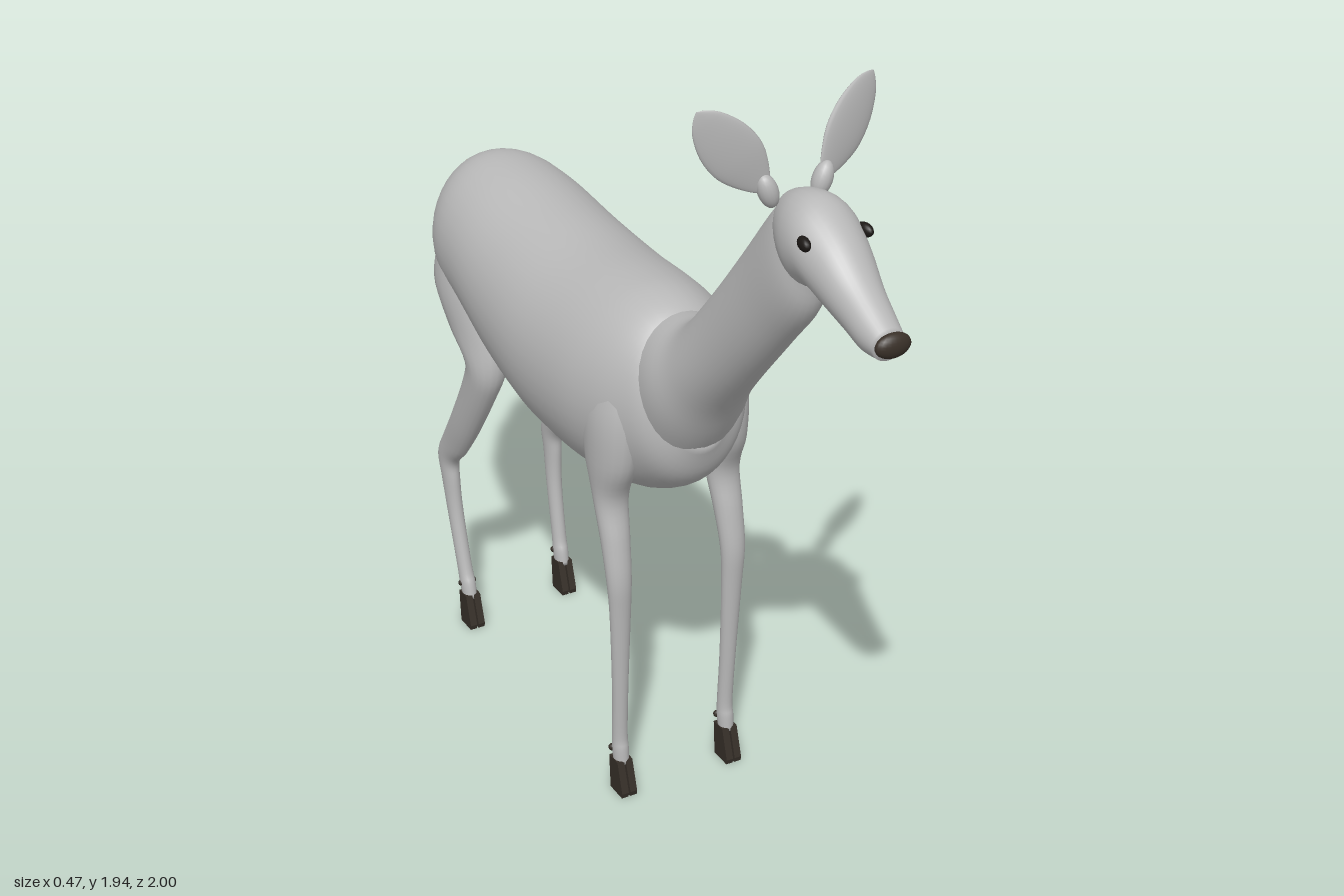
import * as THREE from 'three';

const mat = (name, color) => Object.assign(new THREE.MeshStandardMaterial({ color }), { name });
const coat = mat('grey coat', 0xb8b8b8);
const hoofMat = mat('dark hoof', 0x352e27);
const noseMat = mat('dark nose', 0x3a3129);
const eyeMat = mat('black eye', 0x1c1815);
const brown = mat('tail brown', 0x94694a);
const tan = mat('tail tan', 0xb39c84);

function add(parent, name, geometry, material, x = 0, y = 0, z = 0) {
  const m = new THREE.Mesh(geometry, material);
  m.name = name;
  m.position.set(x, y, z);
  parent.add(m);
  return m;
}

// Smooth skin over elliptical sections [zTop, yTop, zBottom, yBottom, halfWidth, xCentre]
function loft(sections, sides = 28, steps = 5) {
  const curve = (f) => new THREE.CatmullRomCurve3(sections.map(f), false, 'catmullrom', 0.5);
  const tops = curve((s) => new THREE.Vector3(s[5] || 0, s[1], s[0]));
  const bottoms = curve((s) => new THREE.Vector3(s[4], s[3], s[2]));
  const rows = (sections.length - 1) * steps;
  const pos = [], index = [], ends = [];
  for (let i = 0; i <= rows; i++) {
    const a = tops.getPoint(i / rows), b = bottoms.getPoint(i / rows);
    const cy = (a.y + b.y) / 2, cz = (a.z + b.z) / 2;
    if (i === 0 || i === rows) ends.push([a.x, cy, cz]);
    for (let j = 0; j < sides; j++) {
      const t = (j / sides) * Math.PI * 2, s = Math.sin(t);
      pos.push(a.x + b.x * Math.cos(t), cy + (a.y - cy) * s, cz + (a.z - cz) * s);
    }
  }
  const first = (rows + 1) * sides, last = rows * sides;
  pos.push(...ends[0], ...ends[1]);
  for (let j = 0; j < sides; j++) {
    const k = (j + 1) % sides;
    for (let i = 0; i < rows; i++) {
      const r = i * sides, q = r + sides;
      index.push(r + j, r + k, q + j, r + k, q + k, q + j);
    }
    index.push(first, k, j, first + 1, last + j, last + k);
  }
  const g = new THREE.BufferGeometry();
  g.setAttribute('position', new THREE.Float32BufferAttribute(pos, 3));
  g.setIndex(index);
  g.computeVertexNormals();
  return g;
}

// Flattened pointed leaf standing on its base, one unit tall
function leaf(halfWidth, height, thickness) {
  const profile = [[0, 0], [0.3, 0.05], [0.62, 0.17], [0.92, 0.34], [1, 0.5], [0.9, 0.68], [0.6, 0.86], [0.25, 0.96], [0, 1]];
  const spline = new THREE.SplineCurve(profile.map(([r, y]) => new THREE.Vector2(r * halfWidth, y * height)));
  const pts = spline.getPoints(20).map((p) => new THREE.Vector2(Math.max(0, p.x), p.y));
  return new THREE.LatheGeometry(pts, 24).scale(1, 1, thickness / halfWidth);
}

const BODY = [
  [-0.925, 1.14, -0.92, 1.03, 0.04], [-0.905, 1.21, -0.89, 0.96, 0.1], [-0.86, 1.265, -0.83, 0.91, 0.15],
  [-0.78, 1.3, -0.74, 0.89, 0.19], [-0.65, 1.3, -0.62, 0.875, 0.207], [-0.45, 1.28, -0.45, 0.815, 0.222],
  [-0.25, 1.27, -0.25, 0.775, 0.233], [-0.05, 1.283, -0.05, 0.767, 0.225], [0.06, 1.285, 0.08, 0.785, 0.2],
  [0.14, 1.265, 0.17, 0.825, 0.165], [0.19, 1.22, 0.23, 0.88, 0.13], [0.21, 1.15, 0.265, 0.97, 0.07]];

const NECK = [
  [0.02, 1.24, 0.16, 0.84, 0.12], [0.15, 1.26, 0.27, 0.98, 0.13], [0.24, 1.29, 0.345, 1.1, 0.108],
  [0.33, 1.39, 0.45, 1.22, 0.088], [0.45, 1.54, 0.585, 1.37, 0.074], [0.56, 1.68, 0.68, 1.48, 0.068],
  [0.61, 1.73, 0.705, 1.57, 0.055]];

const HEAD = [
  [0.58, 1.71, 0.62, 1.6, 0.04], [0.605, 1.735, 0.66, 1.57, 0.062], [0.66, 1.757, 0.7, 1.56, 0.08],
  [0.72, 1.755, 0.75, 1.57, 0.082], [0.8, 1.71, 0.8, 1.55, 0.07], [0.87, 1.65, 0.87, 1.525, 0.055],
  [0.93, 1.607, 0.92, 1.508, 0.047], [0.978, 1.575, 0.967, 1.51, 0.037]];

// Leg sections run downward, front edge first
const FRONT_LEG = [
  [0.15, 1.14, -0.01, 1.14, 0.04, 0.125], [0.175, 1.02, -0.02, 1.02, 0.062, 0.135], [0.165, 0.9, 0, 0.9, 0.055, 0.143],
  [0.125, 0.8, 0.045, 0.8, 0.043, 0.147], [0.143, 0.7, 0.08, 0.7, 0.036, 0.15], [0.158, 0.6, 0.107, 0.6, 0.031, 0.152],
  [0.155, 0.5, 0.113, 0.5, 0.026, 0.15], [0.145, 0.3, 0.107, 0.3, 0.02, 0.147], [0.138, 0.16, 0.1, 0.16, 0.019, 0.145],
  [0.143, 0.12, 0.1, 0.11, 0.02, 0.145], [0.146, 0.08, 0.105, 0.08, 0.018, 0.145]];

const HIND_LEG = [
  [-0.6, 1.12, -0.84, 1.12, 0.06, 0.11], [-0.56, 1.01, -0.84, 1.0, 0.085, 0.115], [-0.53, 0.9, -0.76, 0.92, 0.068, 0.13],
  [-0.525, 0.81, -0.65, 0.85, 0.05, 0.14], [-0.56, 0.73, -0.67, 0.765, 0.04, 0.147], [-0.645, 0.6, -0.748, 0.63, 0.034, 0.15],
  [-0.715, 0.51, -0.81, 0.54, 0.028, 0.15], [-0.77, 0.455, -0.85, 0.47, 0.025, 0.15], [-0.777, 0.4, -0.84, 0.4, 0.022, 0.15],
  [-0.775, 0.3, -0.822, 0.3, 0.02, 0.148], [-0.752, 0.16, -0.793, 0.16, 0.019, 0.146],
  [-0.739, 0.12, -0.787, 0.11, 0.02, 0.145], [-0.732, 0.08, -0.778, 0.08, 0.018, 0.145]];

const TAIL = [
  [-0.88, 1.24, -0.915, 1.232, 0.033], [-0.92, 1.15, -0.965, 1.17, 0.04], [-0.945, 1.05, -0.985, 1.06, 0.04],
  [-0.963, 0.96, -0.981, 0.96, 0.022], [-0.973, 0.905, -0.977, 0.905, 0.004]];

// Cloven hoof with two toes and a pair of dewclaws
function makeHoof(name) {
  const hoof = new THREE.Group();
  hoof.name = name;
  const side = new THREE.Shape([[-0.028, 0.09], [-0.022, 0], [0.036, 0], [0.038, 0.012], [0.014, 0.09]]
    .map(([z, y]) => new THREE.Vector2(z, y)));
  for (const s of [-1, 1]) {
    const toe = new THREE.ExtrudeGeometry(side, { depth: 0.018, bevelEnabled: false });
    toe.translate(0, 0, -0.009).rotateY(-Math.PI / 2);
    add(hoof, 'toe', toe, hoofMat, s * 0.0112);
    add(hoof, 'dewclaw', new THREE.SphereGeometry(0.009, 10, 8), hoofMat, s * 0.016, 0.115, -0.021);
  }
  return hoof;
}

function makeLeg(name, sections, side, hoofZ, step) {
  const leg = new THREE.Group();
  leg.name = name;
  // The lower leg swings forward by the step
  const swing = (z, y) => z + step * Math.max(0, 1 - y / 0.46);
  add(leg, 'limb', loft(sections.map(([zf, yf, zb, yb, w, x]) =>
    [swing(zf, yf), yf, swing(zb, yb), yb, w, x * side]), 20), coat);
  const hoof = makeHoof('hoof');
  hoof.position.set(0.145 * side, 0, swing(hoofZ, 0.06));
  leg.add(hoof);
  return leg;
}

export function createModel() {
  const deer = new THREE.Group();
  deer.name = 'deer';

  add(deer, 'body', loft(BODY, 40), coat);
  add(deer, 'neck', loft(NECK, 32), coat);

  const head = new THREE.Group();
  head.name = 'head';
  deer.add(head);
  add(head, 'skull', loft(HEAD, 32), coat);
  add(head, 'nose', new THREE.SphereGeometry(1, 20, 14).scale(0.041, 0.027, 0.018), noseMat, 0, 1.55, 0.982);

  for (const s of [1, -1]) {
    const side = s > 0 ? 'left' : 'right';
    const eye = add(head, side + 'Eye', new THREE.SphereGeometry(1, 16, 12).scale(0.012, 0.015, 0.023), eyeMat, s * 0.071, 1.692, 0.762);
    eye.rotation.y = s * 0.15;

    // Ear: short stalk and a thin pointed leaf, swept slightly back
    const stalk = add(head, side + 'EarBase', new THREE.SphereGeometry(1, 16, 12).scale(0.022, 0.04, 0.022), coat, s * 0.064, 1.745, 0.61);
    stalk.rotation.z = -s * 0.35;
    const ear = add(head, side + 'Ear', leaf(0.06, 0.245, 0.011), coat, s * 0.066, 1.744, 0.608);
    const tip = new THREE.Vector3(s * 0.15, 0.19, s > 0 ? -0.055 : -0.02).normalize();
    ear.quaternion.setFromUnitVectors(new THREE.Vector3(0, 1, 0), tip);
    ear.rotateY(s * 0.25);

    deer.add(makeLeg(side + 'FrontLeg', FRONT_LEG, s, 0.13, 0));
    deer.add(makeLeg(side + 'HindLeg', HIND_LEG, s, -0.75, s > 0 ? 0 : 0.04));
  }

  // Tail with a pale tuft behind it
  add(deer, 'tail', loft(TAIL, 16), brown);
  const tuft = add(deer, 'tailTuft', leaf(0.038, 0.25, 0.011), tan, 0, 0.92, -0.991);
  tuft.rotation.x = 0.05;

  return deer;
}
